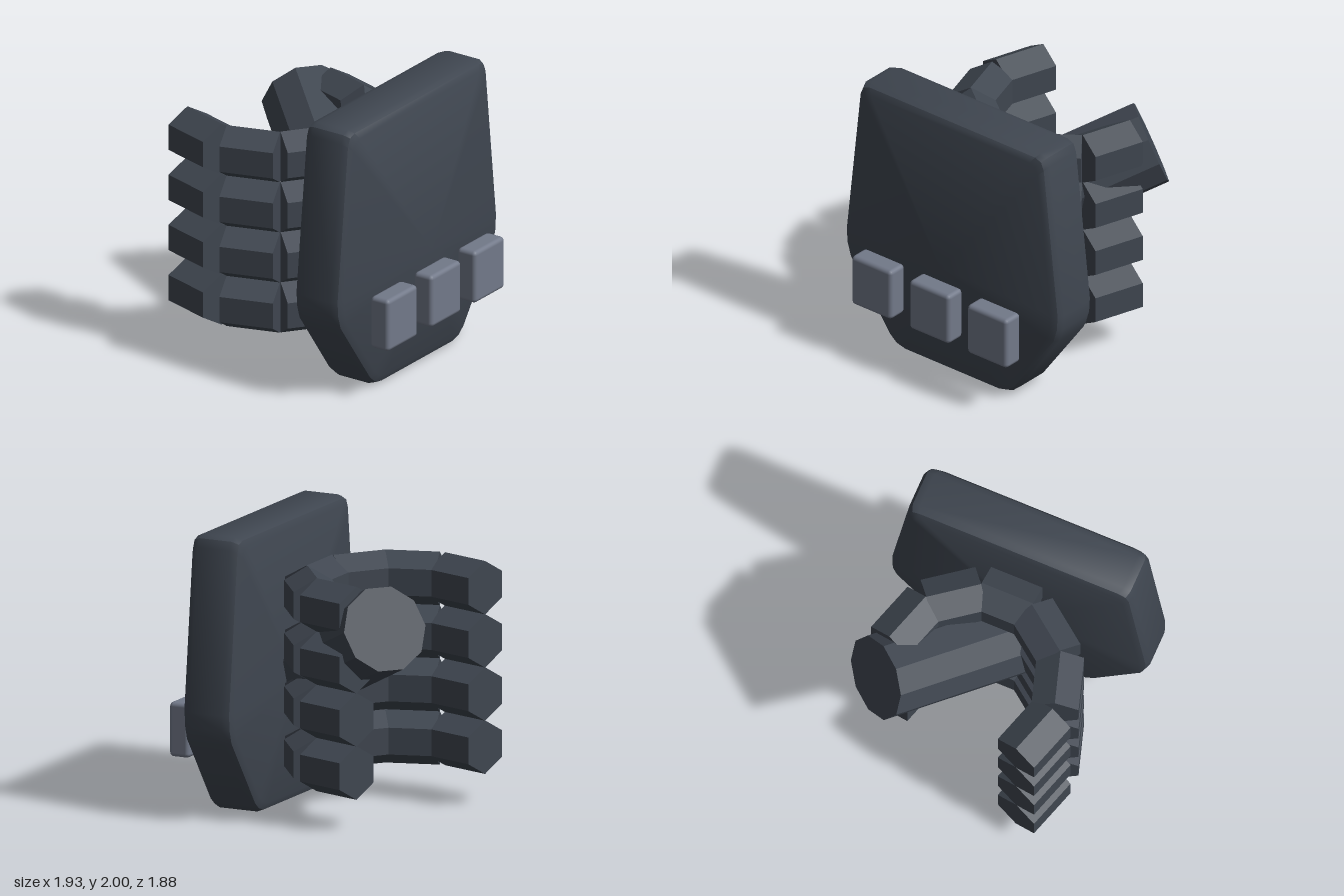
import * as THREE from 'three';
import { toCreasedNormals } from 'three/addons/utils/BufferGeometryUtils.js';
import { RoundedBoxGeometry } from 'three/addons/geometries/RoundedBoxGeometry.js';

const armor = new THREE.MeshStandardMaterial({ color: 0x3f4650 });
armor.name = 'dark slate';
const steel = new THREE.MeshStandardMaterial({ color: 0x727989 });
steel.name = 'steel grey';

// Flat-shaded prism running from point a to point b
function prism(name, radius, sides, a, b, turn = 0) {
  const from = new THREE.Vector3(...a), to = new THREE.Vector3(...b);
  let geo = new THREE.CylinderGeometry(radius, radius, from.distanceTo(to), sides);
  geo.rotateX(-Math.PI / 2).rotateZ(turn);
  geo = geo.toNonIndexed();
  geo.computeVertexNormals();
  const mesh = new THREE.Mesh(geo, armor);
  mesh.name = name;
  mesh.position.copy(from).add(to).multiplyScalar(0.5);
  mesh.lookAt(to);
  return mesh;
}

// Back-of-hand plate: bevelled outline rings, closed by a shallow peak in front
function plateGeometry() {
  const half = [[0.43, 0], [0.51, 0.02], [0.57, 0.07], [0.93, 0.57], [0.96, 0.67], [0.967, 0.78],
    [0.84, 1.92], [0.815, 1.98], [0.76, 2]];
  const outline = [...half, ...half.map(([x, y]) => [-x, y]).reverse()];
  const rings = [[0.065, 0.315], [0.02, 0.335], [0, 0.385], [0, 0.635], [0.02, 0.68], [0.065, 0.703]]; // inset, z
  const n = outline.length, pos = [], index = [];
  for (const [inset, z] of rings) {
    for (const [x, y] of outline) pos.push(x * (1 - inset), 1 + (y - 1) * (1 - inset), z);
  }
  const back = n * rings.length, front = back + 1, last = n * (rings.length - 1);
  pos.push(0, 0.88, 0.315, 0, 0.88, 0.81);
  for (let j = 0; j < n; j++) {
    const j2 = (j + 1) % n;
    for (let k = 0; k < rings.length - 1; k++) {
      const a = k * n + j, b = k * n + j2;
      index.push(a, b, b + n, a, b + n, a + n);
    }
    index.push(j2, j, back, last + j, last + j2, front);
  }
  const geo = new THREE.BufferGeometry();
  geo.setAttribute('position', new THREE.Float32BufferAttribute(pos, 3));
  geo.setIndex(index);
  return toCreasedNormals(geo, 0.65);
}

export function createModel() {
  const model = new THREE.Group();
  model.name = 'gauntlet';

  const plate = new THREE.Mesh(plateGeometry(), armor);
  plate.name = 'handPlate';
  model.add(plate);

  // Knuckle studs
  for (const x of [-0.52, 0, 0.52]) {
    const stud = new THREE.Mesh(new RoundedBoxGeometry(0.36, 0.385, 0.155, 2, 0.03), steel);
    stud.name = 'knuckleStud';
    stud.position.set(x, 0.577, 0.855);
    model.add(stud);
  }

  // Four curled fingers made of hexagonal segments
  for (let i = 0; i < 4; i++) {
    const y = 0.4 + 0.375 * i, r = 0.189;
    const finger = new THREE.Group();
    finger.name = 'finger' + (i + 1);
    finger.add(prism('palmSegment', r, 6, [-0.195, y, 0.13], [0.19, y, 0.13]));
    for (const s of [-1, 1]) {
      finger.add(prism('curveSegment', r, 6, [s * 0.19, y, 0.12], [s * 0.5, y, -0.115]));
      finger.add(prism('middleSegment', r, 6, [s * 0.505, y, -0.115], [s * 0.62, y, -0.483]));
    }
    finger.add(prism('tipSegment', r, 6, [-0.62, y, -0.525], [-0.505, y, -0.895]));
    model.add(finger);
  }

  // Thick thumb rising outward through the fingers
  model.add(prism('thumb', 0.305, 10, [-0.17, 0.94, 0.26], [0.625, 1.44, -0.705], Math.PI / 10));

  return model;
}
